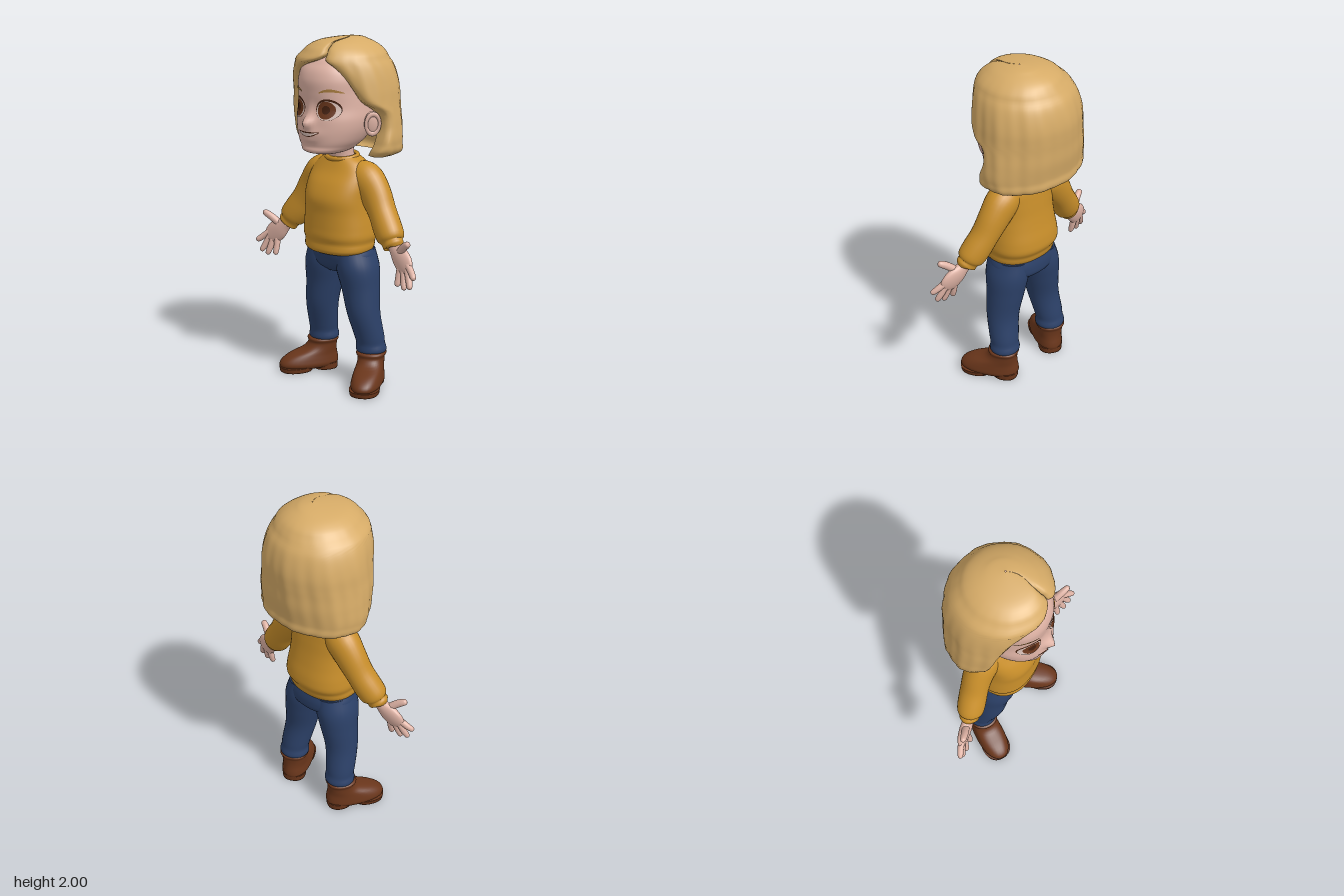
import * as THREE from 'three';

const paint = (name, color, side = THREE.FrontSide) => {
  const m = new THREE.MeshStandardMaterial({ color, side });
  m.name = name;
  return m;
};

// Smooth interpolation through rows of numbers
function table(times, rows) {
  const w = rows[0].length;
  const f = new THREE.CubicInterpolant(times, rows.flat(), w, new Float32Array(w));
  return t => Array.from(f.evaluate(t));
}
const ease = (i, n) => (1 - Math.cos(Math.PI * i / n)) / 2;

// Surface over closed loops of points, optionally capped at both ends
function skin(rows, cap = true) {
  const n = rows[0].length, pos = rows.flat(2), idx = [];
  for (let i = 0; i < rows.length - 1; i++) {
    for (let j = 0; j < n; j++) {
      const a = i * n + j, b = i * n + (j + 1) % n;
      idx.push(a, b, b + n, a, b + n, a + n);
    }
  }
  if (cap) {
    [0, rows.length - 1].forEach((r, end) => {
      const c = pos.length / 3;
      pos.push(...[0, 1, 2].map(k => rows[r].reduce((s, p) => s + p[k], 0) / n));
      for (let j = 0; j < n; j++) {
        const a = r * n + j, b = r * n + (j + 1) % n;
        end ? idx.push(a, b, c) : idx.push(b, a, c);
      }
    });
  }
  const g = new THREE.BufferGeometry();
  g.setAttribute('position', new THREE.Float32BufferAttribute(pos, 3));
  g.setIndex(idx);
  g.computeVertexNormals();
  return g;
}

// Keys are [x, y, z, width radius, depth radius]; flat keeps every ring level
function sweep(keys, { n = 28, steps = 28, flat = false, p = 2, shift = null } = {}) {
  const times = keys.map((k, i) => flat ? k[1] : i);
  const at = table(times, keys), t0 = times[0], t1 = times[times.length - 1];
  const rows = [];
  for (let i = 0; i <= steps; i++) {
    const t = t0 + (t1 - t0) * ease(i, steps), k = at(t);
    const d = new THREE.Vector3(0, 1, 0);
    if (!flat) {
      const a = at(Math.max(t0, t - 0.05)), b = at(Math.min(t1, t + 0.05));
      d.set(b[0] - a[0], b[1] - a[1], b[2] - a[2]).normalize();
    }
    const V = new THREE.Vector3(0, 0, 1).addScaledVector(d, -d.z).normalize();
    const U = d.clone().cross(V);
    const row = [];
    for (let j = 0; j < n; j++) {
      const a = j / n * Math.PI * 2, s = Math.sin(a), c = Math.cos(a);
      const u = Math.sign(s) * Math.abs(s) ** (2 / p) * Math.max(k[3], 0.001);
      const v = Math.sign(c) * Math.abs(c) ** (2 / p) * Math.max(k[4], 0.001);
      const q = [k[0] + U.x * u + V.x * v, k[1] + U.y * u + V.y * v, k[2] + U.z * u + V.z * v];
      if (shift) q[2] += shift(q);
      row.push(q);
    }
    rows.push(row);
  }
  return skin(rows);
}

// Face surface: egg shape plus nose, muzzle and lower lip
const headKeys = [
  [0, 1.355, 0.13, 0.04, 0.05], [0, 1.37, 0.13, 0.1, 0.12], [0, 1.41, 0.1, 0.152, 0.165],
  [0, 1.47, 0.07, 0.19, 0.2], [0, 1.55, 0.04, 0.213, 0.228], [0, 1.62, 0.02, 0.212, 0.235],
  [0, 1.7, 0.02, 0.207, 0.243], [0, 1.78, 0.02, 0.204, 0.243], [0, 1.85, 0, 0.185, 0.23],
  [0, 1.91, -0.02, 0.13, 0.17], [0, 1.94, -0.02, 0.02, 0.03]];
const bell = (x, y, cy, w, h) => Math.exp(-((x / w) ** 2) - ((y - cy) / h) ** 2);
const bump = (x, y) => 0.048 * bell(x, y, 1.54, 0.032, 0.032) + 0.012 * bell(x, y, 1.6, 0.025, 0.05)
  + 0.016 * bell(x, y, 1.48, 0.08, 0.035) + 0.008 * bell(x, y, 1.445, 0.04, 0.012);
const headAt = table(headKeys.map(k => k[1]), headKeys);
function faceZ(x, y) {
  const k = headAt(y), r = Math.min(Math.abs(x / k[3]), 1);
  return k[2] + k[4] * (1 - r ** 2.2) ** (1 / 2.2) + bump(x, y);
}

// Thin detail laid onto the face
function onFace(geo, map, off) {
  const p = geo.attributes.position;
  for (let i = 0; i < p.count; i++) {
    const [x, y] = map(p.getX(i), p.getY(i));
    p.setXYZ(i, x, y, faceZ(x, y) + off);
  }
  geo.computeVertexNormals();
  return geo;
}
const oval = (cx, cy, rx, ry, off) =>
  onFace(new THREE.RingGeometry(0.001, 1, 32, 7), (u, v) => [cx + u * rx, cy + v * ry], off);
const ribbon = (map, off) => onFace(new THREE.PlaneGeometry(2, 2, 24, 4), map, off);

// Bob: level C-shaped rings open at the face, closing into a parting on top
function hairGeometry() {
  // y, centre x, centre z, radius x, radius z, right edge angle, left edge angle
  const keys = [
    [1.34, 0, -0.08, 0.27, 0.18, -1.2, 1.1], [1.36, 0, -0.07, 0.315, 0.22, -1.1, 1.1],
    [1.42, 0, -0.05, 0.338, 0.245, -1, 1.3], [1.52, 0, -0.04, 0.334, 0.27, -0.95, 1.47],
    [1.6, 0, -0.03, 0.325, 0.283, -0.95, 1.42], [1.65, 0, -0.03, 0.318, 0.286, -0.9, 1.08],
    [1.72, 0, -0.03, 0.31, 0.286, -0.8, 0.86], [1.8, 0, -0.02, 0.293, 0.28, -0.6, 0.68],
    [1.85, 0, -0.01, 0.275, 0.27, -0.3, 0.5], [1.88, 0, 0, 0.258, 0.258, 0.1, 0.34],
    [1.91, 0.01, 0, 0.232, 0.238, 0.27, 0.31], [1.95, 0.01, 0, 0.185, 0.2, 0.3, 0.34],
    [1.98, 0.02, 0, 0.12, 0.135, 0.4, 0.44], [1.995, 0.04, -0.02, 0.05, 0.06, 0.6, 0.64],
    [2, 0.045, -0.02, 0.005, 0.005, 0.6, 0.64]];
  const at = table(keys.map(k => k[0]), keys), steps = 64, m = 96, rows = [];
  for (let i = -1; i <= steps; i++) {
    const y = 1.34 + 0.66 * ease(Math.max(i, 0), steps), k = at(y), row = [];
    const span = Math.PI * 2 - (k[6] - k[5]);
    const put = (j, inner) => {
      const s = j / (m - 1), a = k[6] + span * s;
      const e = 1 - Math.min(1, Math.min(s, 1 - s) / 0.05);
      const strands = 0.011 * Math.sin(9 * a + y * 2) + 0.006 * Math.sin(23 * a + y * 5);
      let f = 1 - 0.1 * (1 - Math.sqrt(1 - e * e)) + strands * Math.min(1, (2 - y) * 4);
      if (inner) f = 0.72;
      else if (i < 0) f = 0.73;
      row.push([k[1] + k[3] * f * Math.sin(a), y, k[2] + k[4] * f * Math.cos(a)]);
    };
    for (let j = 0; j < m; j++) put(j, false);
    for (let j = m - 1; j >= 0; j--) put(j, true);
    rows.push(row);
  }
  return skin(rows, false);
}

export function createModel() {
  const model = new THREE.Group();
  const skinMat = paint('skin', 0xdfb3a5), hair = paint('blondHair', 0xd6ab67, THREE.DoubleSide);
  const wool = paint('mustardWool', 0xc88e2a), denim = paint('denim', 0x2c4169);
  const leather = paint('brownLeather', 0x6a361b), iris = paint('brownIris', 0x6b371c);
  const dark = paint('darkBrown', 0x43200f), white = paint('eyeWhite', 0xdcc4bb);
  const brow = paint('brow', 0xa97d3f);
  const add = (name, geo, mat, parent = model) => {
    const m = new THREE.Mesh(geo, mat);
    m.name = name;
    parent.add(m);
    return m;
  };

  // Head and neck
  add('head', sweep(headKeys, { n: 96, steps: 72, flat: true, p: 2.2,
    shift: q => q[2] > 0.12 ? bump(q[0], q[1]) : 0 }), skinMat);
  add('neck', sweep([[0, 1.27, 0, 0.085, 0.075], [0, 1.33, 0.01, 0.075, 0.07],
    [0, 1.42, 0.03, 0.08, 0.08]], { flat: true, steps: 8 }), skinMat);
  add('hair', hairGeometry(), hair);

  // Exposed left ear
  const ear = new THREE.Group();
  ear.name = 'ear';
  ear.position.set(0.242, 1.535, 0.025);
  ear.rotation.set(0, -0.6, -0.1);
  add('earBody', new THREE.SphereGeometry(1, 24, 16).scale(0.024, 0.07, 0.045), skinMat, ear);
  add('earRim', new THREE.TorusGeometry(0.038, 0.01, 10, 28).scale(1, 1.45, 1).rotateY(Math.PI / 2),
    skinMat, ear).position.x = 0.016;
  model.add(ear);

  // Eyes and brows
  for (const s of [-1, 1]) {
    add('eyeOutline', oval(s * 0.104, 1.617, 0.063, 0.059, 0.003), dark);
    add('eyeWhite', oval(s * 0.105, 1.612, 0.059, 0.052, 0.005), white);
    add('iris', oval(s * 0.1, 1.615, 0.045, 0.048, 0.007), iris);
    add('pupil', oval(s * 0.1, 1.617, 0.021, 0.023, 0.009), dark);
    add('eyebrow', ribbon((u, v) => [s * 0.118 + 0.055 * u,
      1.722 - 0.014 * u * u + v * 0.008 * (1 - 0.7 * u * u)], 0.005), brow);
  }

  // Smile
  const smile = (h, drop, w) => (u, v) =>
    [w * u, 1.48 - drop + 0.014 * u * u + v * h * (1 - u * u)];
  add('mouth', ribbon(smile(0.014, 0, 0.078), 0.003), dark);
  add('teeth', ribbon(smile(0.0085, 0.001, 0.07), 0.006), white);

  // Sweater body with gathered hem and collar
  add('sweaterBody', sweep([
    [0, 0.785, 0.03, 0.185, 0.145], [0, 0.8, 0.03, 0.203, 0.16], [0, 0.825, 0.025, 0.21, 0.166],
    [0, 0.845, 0.022, 0.209, 0.167], [0, 0.88, 0.017, 0.219, 0.182], [0, 0.93, 0.017, 0.216, 0.181],
    [0, 1.02, 0.025, 0.205, 0.171], [0, 1.1, 0.033, 0.2, 0.165], [0, 1.18, 0.022, 0.2, 0.144],
    [0, 1.25, 0.003, 0.19, 0.115], [0, 1.3, -0.003, 0.15, 0.095], [0, 1.33, 0, 0.1, 0.08]],
    { n: 48, steps: 56, flat: true, p: 2.3 }), wool);
  const collar = add('collar', new THREE.TorusGeometry(0.092, 0.014, 10, 40).rotateX(Math.PI / 2), wool);
  collar.position.set(0, 1.325, 0.005);
  collar.rotation.x = 0.12;
  collar.scale.z = 0.88;

  // Jeans seat
  add('jeansSeat', sweep([[0, 0.665, 0, 0.08, 0.09], [0, 0.7, 0, 0.185, 0.13],
    [0, 0.75, 0.005, 0.216, 0.145], [0, 0.83, 0.015, 0.195, 0.145]],
    { n: 40, flat: true, p: 2.2 }), denim);

  for (const s of [-1, 1]) {
    const mirror = keys => keys.map(([x, ...rest]) => [s * x, ...rest]);

    // Sleeve with cuff
    add('sleeve', sweep(mirror([
      [0.1, 1.235, -0.01, 0.08, 0.08], [0.17, 1.205, -0.015, 0.1, 0.092], [0.235, 1.13, -0.015, 0.094, 0.085],
      [0.295, 1.04, -0.005, 0.08, 0.08], [0.345, 0.965, 0.01, 0.083, 0.08], [0.382, 0.915, 0.022, 0.079, 0.075],
      [0.396, 0.893, 0.027, 0.062, 0.058], [0.412, 0.873, 0.032, 0.062, 0.055], [0.415, 0.868, 0.033, 0.04, 0.035]]),
      { steps: 44 }), wool);

    // Hand: palm, four fingers and thumb
    const hand = new THREE.Group();
    hand.name = 'hand';
    model.add(hand);
    add('palm', sweep(mirror([
      [0.39, 0.895, 0.025, 0.035, 0.03], [0.43, 0.86, 0.036, 0.042, 0.031], [0.47, 0.825, 0.045, 0.06, 0.032],
      [0.51, 0.79, 0.055, 0.062, 0.027], [0.54, 0.765, 0.065, 0.045, 0.018], [0.548, 0.758, 0.067, 0.01, 0.006]])),
      skinMat, hand);
    const digits = [
      [[0.535, 0.8, 0.06], [0.58, 0.763, 0.08], [0.615, 0.735, 0.102]],
      [[0.53, 0.785, 0.06], [0.56, 0.72, 0.078], [0.583, 0.672, 0.096]],
      [[0.51, 0.77, 0.058], [0.522, 0.71, 0.074], [0.537, 0.658, 0.09]],
      [[0.48, 0.775, 0.055], [0.478, 0.715, 0.066], [0.477, 0.665, 0.08]],
      [[0.465, 0.85, 0.045], [0.515, 0.893, 0.07], [0.565, 0.924, 0.09]]];
    digits.forEach(([a, b, c], i) => {
      const r = i === 4 ? 0.022 : 0.019;
      const near = c.map((v, k) => v + (b[k] - v) * 0.2);
      add(i === 4 ? 'thumb' : 'finger', sweep(mirror([[...a, r, r], [...b, r, r * 0.95],
        [...near, r * 0.8, r * 0.75], [...c, 0.003, 0.003]]), { n: 14, steps: 16 }), skinMat, hand);
    });

    // Trouser leg with rumpled hem, and ankle
    add('jeansLeg', sweep(mirror([
      [0.187, 0.187, -0.04, 0.068, 0.066], [0.187, 0.198, -0.04, 0.086, 0.083], [0.187, 0.22, -0.039, 0.09, 0.086],
      [0.186, 0.245, -0.036, 0.084, 0.082], [0.183, 0.28, -0.03, 0.087, 0.085], [0.163, 0.43, 0, 0.095, 0.098],
      [0.14, 0.58, 0, 0.108, 0.116], [0.121, 0.7, 0.005, 0.117, 0.135], [0.105, 0.8, 0.01, 0.1, 0.13]]),
      { steps: 44, flat: true }), denim);
    add('ankle', new THREE.CylinderGeometry(0.062, 0.062, 0.06, 24), skinMat).position.set(s * 0.187, 0.185, -0.035);

    // Boot, turned outwards, with separate sole and heel
    const boot = new THREE.Group();
    boot.name = 'boot';
    boot.position.set(s * 0.193, 0, -0.035);
    boot.rotation.y = s * 0.5;
    model.add(boot);
    const level = { n: 36, flat: true, p: 2.3 };
    add('bootUpper', sweep([
      [0, 0.022, 0.09, 0.078, 0.17], [0, 0.04, 0.09, 0.088, 0.18], [0, 0.07, 0.083, 0.086, 0.172],
      [0, 0.1, 0.062, 0.081, 0.145], [0, 0.13, 0.022, 0.077, 0.102], [0, 0.165, 0.003, 0.076, 0.085],
      [0, 0.197, 0, 0.081, 0.085], [0, 0.2, 0, 0.072, 0.076]], level), leather, boot);
    add('bootSole', sweep([[0, 0, 0.17, 0.082, 0.096], [0, 0.03, 0.17, 0.087, 0.1]],
      { ...level, steps: 4 }), leather, boot);
    add('bootHeel', sweep([[0, 0, -0.012, 0.07, 0.072], [0, 0.04, -0.01, 0.074, 0.076]],
      { ...level, steps: 4 }), leather, boot);
  }
  return model;
}
